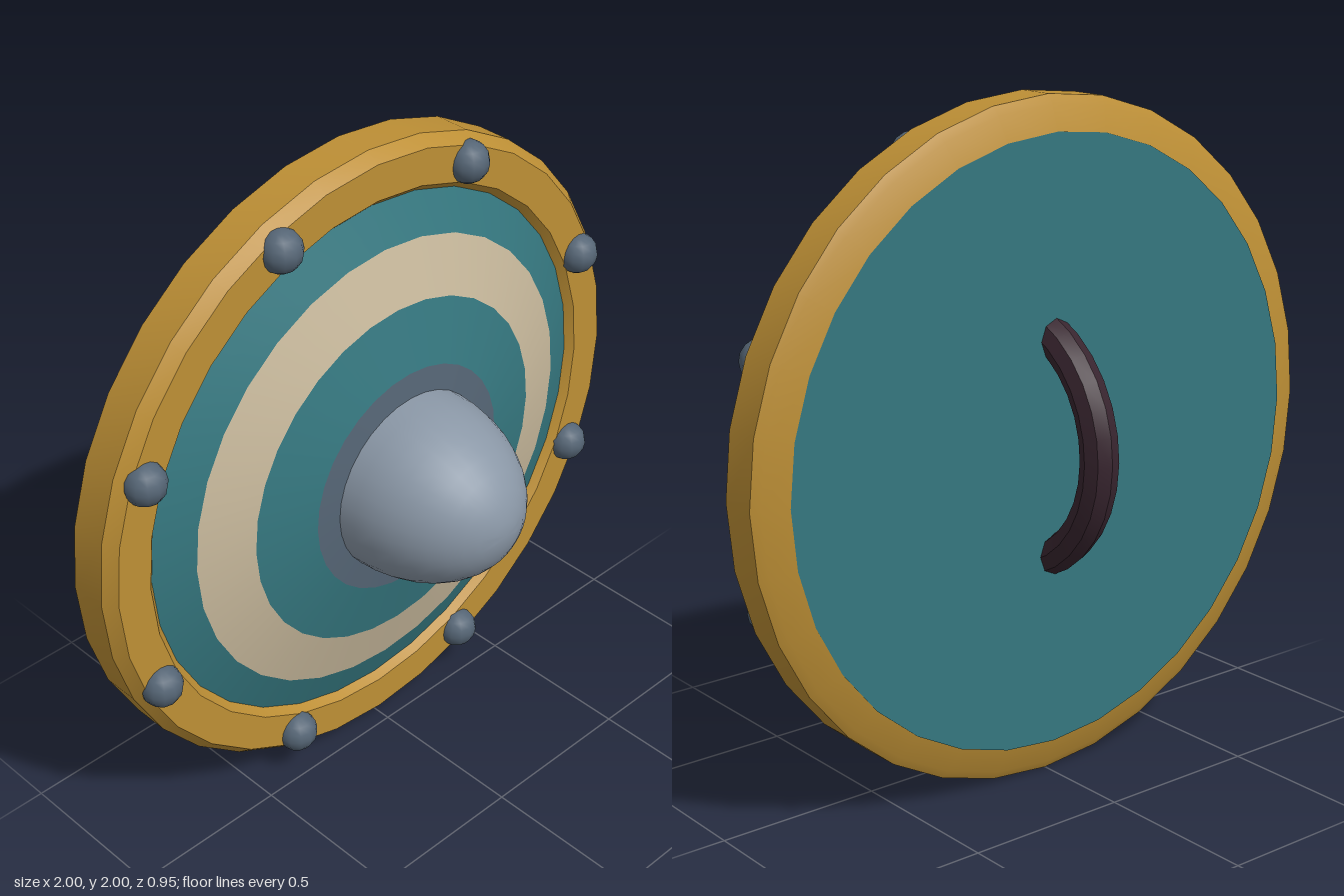
import * as THREE from 'three';
import { toCreasedNormals } from 'three/addons/utils/BufferGeometryUtils.js';

const mat = (name, color) => {
  const m = new THREE.MeshStandardMaterial({ color });
  m.name = name;
  return m;
};

export function createModel() {
  const gold = mat('gold', 0xbd8f35);
  const teal = mat('teal', 0x35777f);
  const cream = mat('cream', 0xc8b99c);
  const steel = mat('steel', 0x8a97a6);
  const iron = mat('iron', 0x556575);
  const leather = mat('leather', 0x38252f);

  const model = new THREE.Group();
  model.name = 'roundShield';
  const shield = new THREE.Group();
  shield.name = 'shieldBody';
  shield.position.y = 1;
  model.add(shield);

  const add = (name, geometry, material) => {
    const mesh = new THREE.Mesh(geometry, material);
    mesh.name = name;
    shield.add(mesh);
    return mesh;
  };

  // Turned part about the z axis; profile is [radius, z], running back to front
  const turned = (name, profile, material, crease = 0.35) => {
    const geo = new THREE.LatheGeometry(profile.map(([r, z]) => new THREE.Vector2(r, z)), 32);
    geo.rotateX(Math.PI / 2);
    return add(name, toCreasedNormals(geo, crease), material);
  };

  // Bevelled rim
  turned('rim', [
    [0.89, -0.23], [0.975, -0.205], [1, -0.19], [1, -0.075],
    [0.97, -0.037], [0.86, -0.037], [0.83, -0.07],
  ], gold);

  // Flat back board
  turned('backBoard', [[0, -0.23], [0.9, -0.23]], teal);

  // Domed front face, in painted bands
  turned('outerBand', [[0.85, -0.065], [0.72, -0.01]], teal);
  turned('creamBand', [[0.72, -0.01], [0.55, 0.042]], cream);
  turned('innerBand', [[0.55, 0.042], [0.36, 0.088]], teal);
  turned('bossCollar', [[0.36, 0.088], [0.27, 0.097]], iron);

  // Central boss, a half ellipsoid
  const dome = [];
  for (let i = 0; i <= 10; i++) {
    const a = (i / 10) * Math.PI / 2;
    dome.push([i === 10 ? 0 : 0.283 * Math.cos(a), 0.09 + 0.385 * Math.sin(a)]);
  }
  turned('boss', dome, steel, 0.8);

  // Rivets around the rim
  const rivetGeometry = new THREE.SphereGeometry(0.064, 12, 8);
  for (let i = 0; i < 8; i++) {
    const a = (i + 0.5) * Math.PI / 4;
    add('rivet', rivetGeometry, iron)
      .position.set(0.92 * Math.cos(a), 0.92 * Math.sin(a), -0.04);
  }

  // Curved grip on the back
  const grip = new THREE.TorusGeometry(0.365, 0.055, 8, 16, Math.PI);
  grip.rotateZ(-Math.PI / 2);
  grip.rotateY(Math.PI / 2);
  add('grip', toCreasedNormals(grip, 0.6), leather).position.z = -0.052;

  return model;
}
